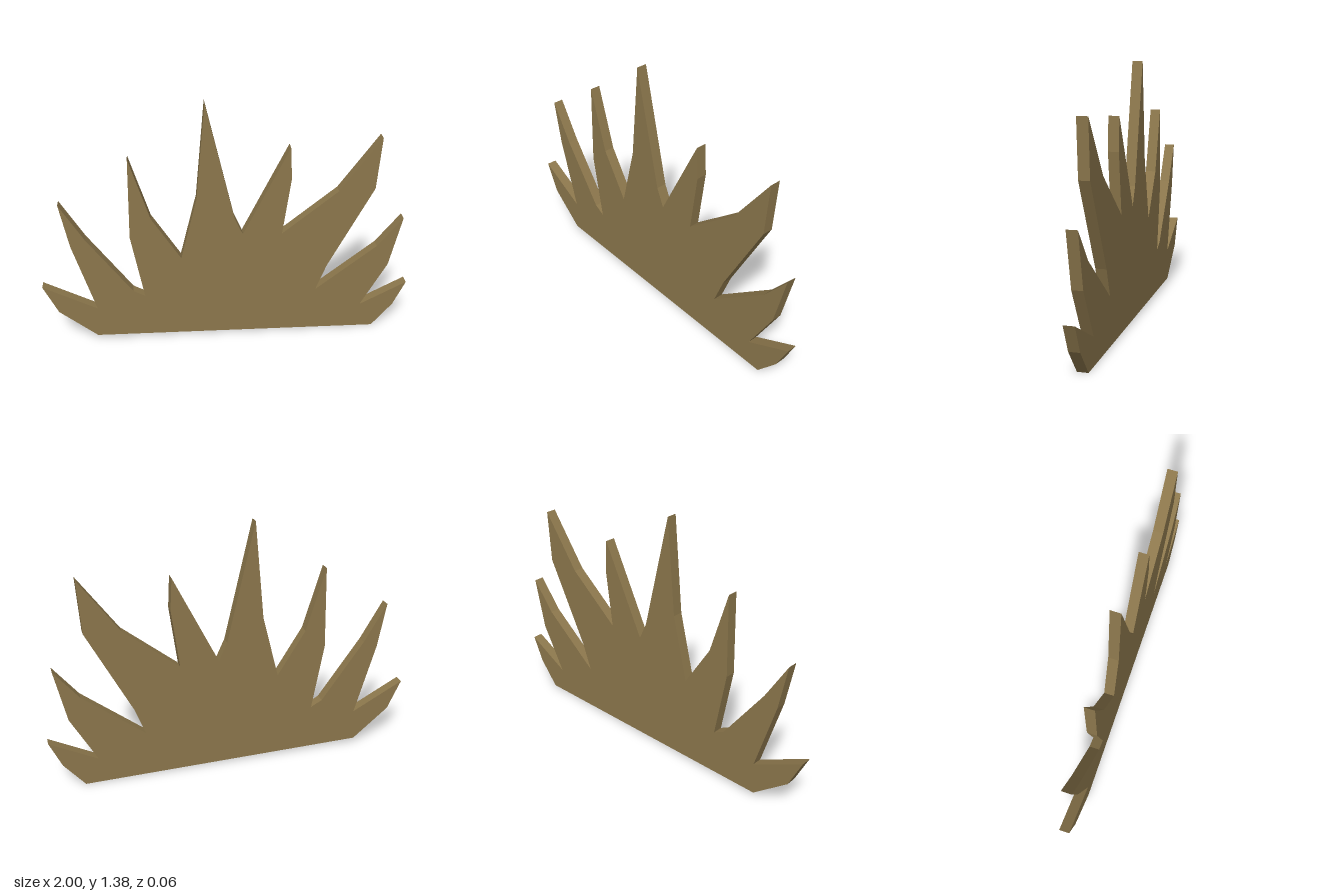
import * as THREE from 'three';

const DEPTH = 0.056;

// Outline, clockwise from the lower right-hand base corner, grouped by blade
const outline = [
  [-0.725, 0.028], [-0.925, 0.195], [-1, 0.357], [-0.715, 0.205],
  [-0.83, 0.6], [-0.875, 0.847], [-0.75, 0.635], [-0.515, 0.307], [-0.453, 0.272],
  [-0.518, 0.64], [-0.508, 1.09], [-0.403, 0.745], [-0.25, 0.5],
  [-0.163, 0.85], [-0.115, 1.375], [0.035, 0.73], [0.08, 0.63],
  [0.322, 1.12], [0.332, 0.945], [0.29, 0.625],
  [0.585, 0.863], [0.796, 1.156], [0.778, 0.87], [0.543, 0.41], [0.487, 0.26],
  [0.815, 0.52], [0.947, 0.685], [0.885, 0.4], [0.746, 0.145],
  [1, 0.277], [0.935, 0.135], [0.823, 0],
];

export function createModel() {
  const model = new THREE.Group();
  model.name = 'grassTuft';

  const dryGrass = new THREE.MeshStandardMaterial({ color: 0x8c774c });
  dryGrass.name = 'dryGrass';

  // Flat fan of pointed blades
  const shape = new THREE.Shape(outline.map(([x, y]) => new THREE.Vector2(x, y)));
  const geometry = new THREE.ExtrudeGeometry(shape, { depth: DEPTH, bevelEnabled: false });
  geometry.translate(0, 0, -DEPTH / 2);

  const blades = new THREE.Mesh(geometry, dryGrass);
  blades.name = 'blades';
  model.add(blades);
  return model;
}
